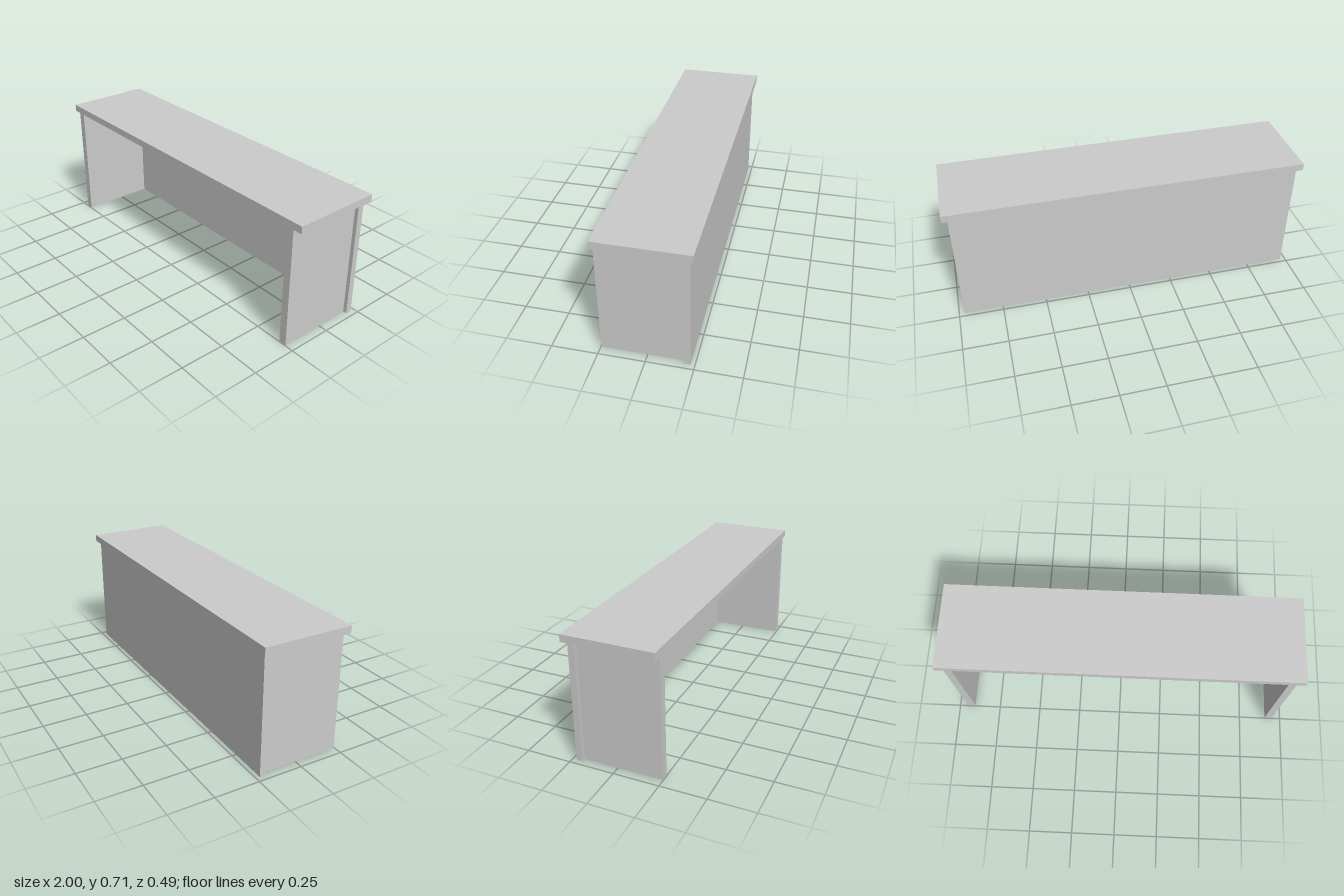
import * as THREE from 'three';

export function createModel() {
  const group = new THREE.Group();
  const material = new THREE.MeshStandardMaterial({ color: 0xcccccc, flatShading: true });

  // Box given by its minimum and maximum corners
  const addPanel = (name, [x0, y0, z0], [x1, y1, z1]) => {
    const mesh = new THREE.Mesh(new THREE.BoxGeometry(x1 - x0, y1 - y0, z1 - z0), material);
    mesh.position.set((x0 + x1) / 2, (y0 + y1) / 2, (z0 + z1) / 2);
    mesh.name = name;
    group.add(mesh);
  };

  const underside = 0.675;
  const front = 0.247;
  const panelFront = -0.192;

  // Top overhangs the ends and the back, flush with the legs at the front
  addPanel('deskTop', [-1, underside, -0.247], [1, 0.715, front]);

  // Back panel runs slightly past the end panels
  addPanel('backPanel', [-0.97, 0, -0.227], [0.97, underside, panelFront]);

  // End panels
  addPanel('leftEndPanel', [0.906, 0, panelFront], [0.949, underside, front]);
  addPanel('rightEndPanel', [-0.949, 0, panelFront], [-0.906, underside, front]);

  return group;
}
